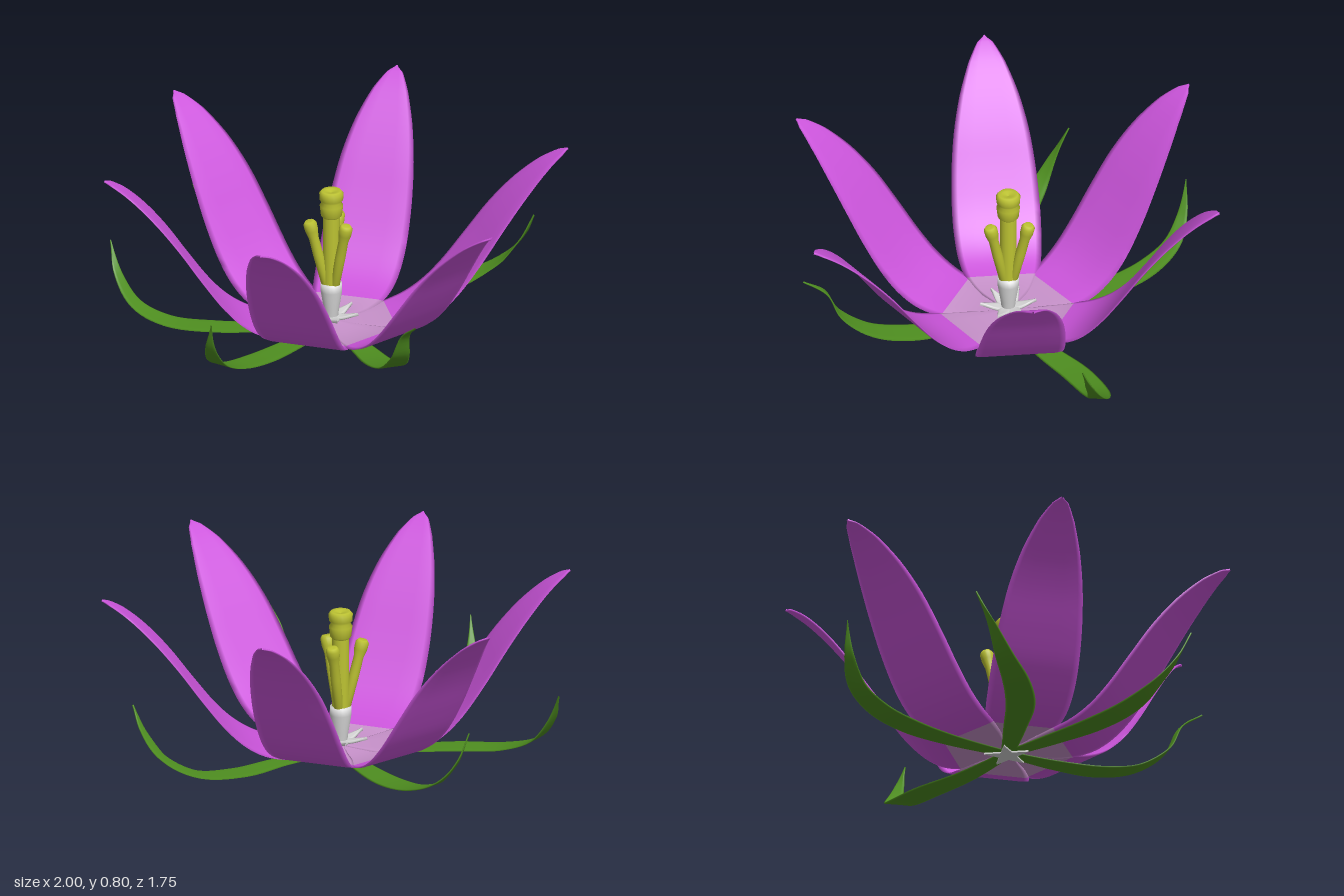
import * as THREE from 'three';

const mat = (name, color) => {
  const m = new THREE.MeshStandardMaterial({ color });
  m.name = name;
  return m;
};
const V = (x, y, z) => new THREE.Vector3(x, y, z);

// Thin solid blade swept along a curve; the first `split` rows take the second material.
function blade(points, widths, thick, split, perSpan = 4) {
  const curve = new THREE.CatmullRomCurve3(points);
  const rows = (points.length - 1) * perSpan;
  const across = [-1, -0.86, -0.45, 0, 0.45, 0.86, 1];
  const ring = [
    ...across.map((u) => [u, Math.abs(u) === 1 ? 0 : 1]),
    ...across.slice(1, -1).reverse().map((u) => [u, -1]),
  ];
  const n = ring.length, pos = [], idx = [];
  const widthCurve = new THREE.SplineCurve(widths.map((w, i) => new THREE.Vector2(i, w)));
  for (let i = 0; i <= rows; i++) {
    const p = curve.getPoint(i / rows), t = curve.getTangent(i / rows);
    const side = V(-t.z, 0, t.x).normalize();
    const up = side.clone().cross(t);
    const w = Math.max(widthCurve.getPoint(i / rows).y, 0.002);
    for (const [u, h] of ring) {
      const q = p.clone().addScaledVector(side, u * w).addScaledVector(up, h * thick / 2);
      pos.push(q.x, q.y, q.z);
    }
    if (i < rows) for (let k = 0; k < n; k++) {
      const a = i * n + k, b = i * n + (k + 1) % n;
      idx.push(a, b, a + n, b, b + n, a + n);
    }
  }
  const g = new THREE.BufferGeometry();
  g.setAttribute('position', new THREE.Float32BufferAttribute(pos, 3));
  g.setIndex(idx);
  g.computeVertexNormals();
  const cut = split * perSpan * n * 6;
  g.addGroup(0, cut, 1);
  g.addGroup(cut, idx.length - cut, 0);
  return g;
}

export function createModel() {
  const flower = new THREE.Group();
  flower.name = 'flower';
  const purple = mat('petal purple', 0xcc55dc);
  const pale = mat('pale petal base', 0xc892cb);
  const green = mat('leaf green', 0x4f8f20);
  const yellow = mat('pollen yellow', 0xbcc232);
  const white = mat('stalk white', 0xd6d6d6);
  const add = (name, geo, material, parent = flower) => {
    const m = new THREE.Mesh(geo, material);
    m.name = name;
    parent.add(m);
    return m;
  };
  const C = -0.02; // flower axis in x and z

  // Petals: radius, height and half width from base to tip
  const profile = [
    [0, 0.03, 0.015], [0.08, 0.023, 0.06], [0.16, 0.022, 0.115], [0.25, 0.033, 0.155],
    [0.34, 0.06, 0.175], [0.42, 0.11, 0.184], [0.5, 0.19, 0.187], [0.6, 0.325, 0.18],
    [0.7, 0.47, 0.16], [0.8, 0.595, 0.125], [0.9, 0.695, 0.077], [0.97, 0.745, 0.034], [1, 0.76, 0.003],
  ];
  const tips = [
    [1, 0.735, -0.02], [0.44, 0.79, -0.87], [-0.53, 0.78, -0.84],
    [-1, 0.76, -0.02], [-0.5, 0.745, 0.83], [0.49, 0.745, 0.86],
  ];
  tips.forEach(([x, y, z], i) => {
    const pts = profile.map(([r, h]) => V(
      C + (x - C) * r,
      0.02 + (h - 0.02) * (y - 0.02) / 0.74 + (i % 2) * 0.004,
      C + (z - C) * r));
    add('petal' + (i + 1), blade(pts, profile.map((p) => p[2]), 0.008, 3), [purple, pale]);
  });

  // Slender leaves under the petals, curling up at the ends
  const leaves = [
    [[0.25, 0.013, -0.14], [0.45, 0.018, -0.26], [0.64, 0.045, -0.325], [0.78, 0.12, -0.315], [0.86, 0.23, -0.275], [0.9, 0.34, -0.24]],
    [[-0.28, 0.013, -0.05], [-0.5, 0.02, -0.08], [-0.7, 0.035, -0.15], [-0.82, 0.09, -0.23], [-0.88, 0.2, -0.3], [-0.9, 0.33, -0.37]],
    [[-0.2, 0.013, 0.13], [-0.38, 0.018, 0.27], [-0.52, 0.045, 0.38], [-0.61, 0.1, 0.46], [-0.66, 0.21, 0.55], [-0.67, 0.35, 0.62]],
    [[0.05, 0.013, 0.22], [0.09, 0.025, 0.42], [0.115, 0.07, 0.58], [0.125, 0.17, 0.71], [0.135, 0.29, 0.77], [0.16, 0.37, 0.87]],
    [[-0.09, 0.013, -0.28], [-0.17, 0.02, -0.48], [-0.25, 0.05, -0.64], [-0.33, 0.11, -0.75], [-0.4, 0.21, -0.8], [-0.45, 0.35, -0.82]],
  ];
  leaves.forEach((path, i) => {
    const pts = [V(C, 0.009, C), ...path.map((p) => V(...p))];
    add('leaf' + (i + 1), blade(pts, [0.03, 0.05, 0.063, 0.058, 0.042, 0.022, 0.002], 0.006, 0, 6), [green, white]);
  });

  // Pale star that joins the leaves underneath
  const star = new THREE.Shape();
  for (let i = 0; i < 10; i++) {
    const a = i * Math.PI / 5 + 0.25, r = i % 2 ? 0.04 : 0.1;
    star[i ? 'lineTo' : 'moveTo'](r * Math.cos(a), r * Math.sin(a));
  }
  const starGeo = new THREE.ExtrudeGeometry(star, { depth: 0.008, bevelEnabled: false });
  starGeo.rotateX(-Math.PI / 2).translate(C, 0, C);
  add('baseStar', starGeo, white);

  // Centre: pale stalk with pointed foot, yellow column, ribbed head
  const centre = new THREE.Group();
  centre.name = 'centre';
  centre.position.set(C, 0, C);
  flower.add(centre);
  const lathe = (pts) => new THREE.LatheGeometry(pts.map(([x, y]) => new THREE.Vector2(x, y)), 20);
  add('stalk', lathe([[0.025, 0.02], [0.033, 0.09], [0.046, 0.17], [0.046, 0.205], [0, 0.212]]), white, centre);
  for (let i = 0; i < 6; i++) {
    const a = i * Math.PI / 3 + 0.5;
    const path = [V(0, 0.05, 0), V(0.05 * Math.cos(a), 0.055, 0.05 * Math.sin(a)),
      V(0.12 * Math.cos(a), 0.075, 0.12 * Math.sin(a))];
    add('footSpike' + (i + 1), blade(path, [0.03, 0.025, 0.002], 0.012, 0), [white, white], centre);
  }
  add('column', new THREE.CylinderGeometry(0.036, 0.036, 0.33, 16).translate(0, 0.365, 0), yellow, centre);
  add('head', lathe([[0.03, 0.505], [0.045, 0.52], [0.05, 0.565], [0.041, 0.58], [0.05, 0.592],
    [0.052, 0.62], [0.042, 0.632], [0.025, 0.63], [0, 0.622]]), yellow, centre);

  // Three leaning stamens with swollen ends
  for (let i = 0; i < 3; i++) {
    const arm = new THREE.Group();
    arm.name = 'stamen' + (i + 1);
    arm.rotation.y = Math.PI + i * Math.PI * 2 / 3;
    centre.add(arm);
    const m = add('stamenRod', lathe([[0, 0], [0.02, 0.005], [0.022, 0.15], [0.021, 0.23],
      [0.028, 0.265], [0.029, 0.295], [0.02, 0.308], [0, 0.305]]), yellow, arm);
    m.position.set(0.022, 0.2, 0);
    m.rotation.z = -0.24;
  }
  return flower;
}
